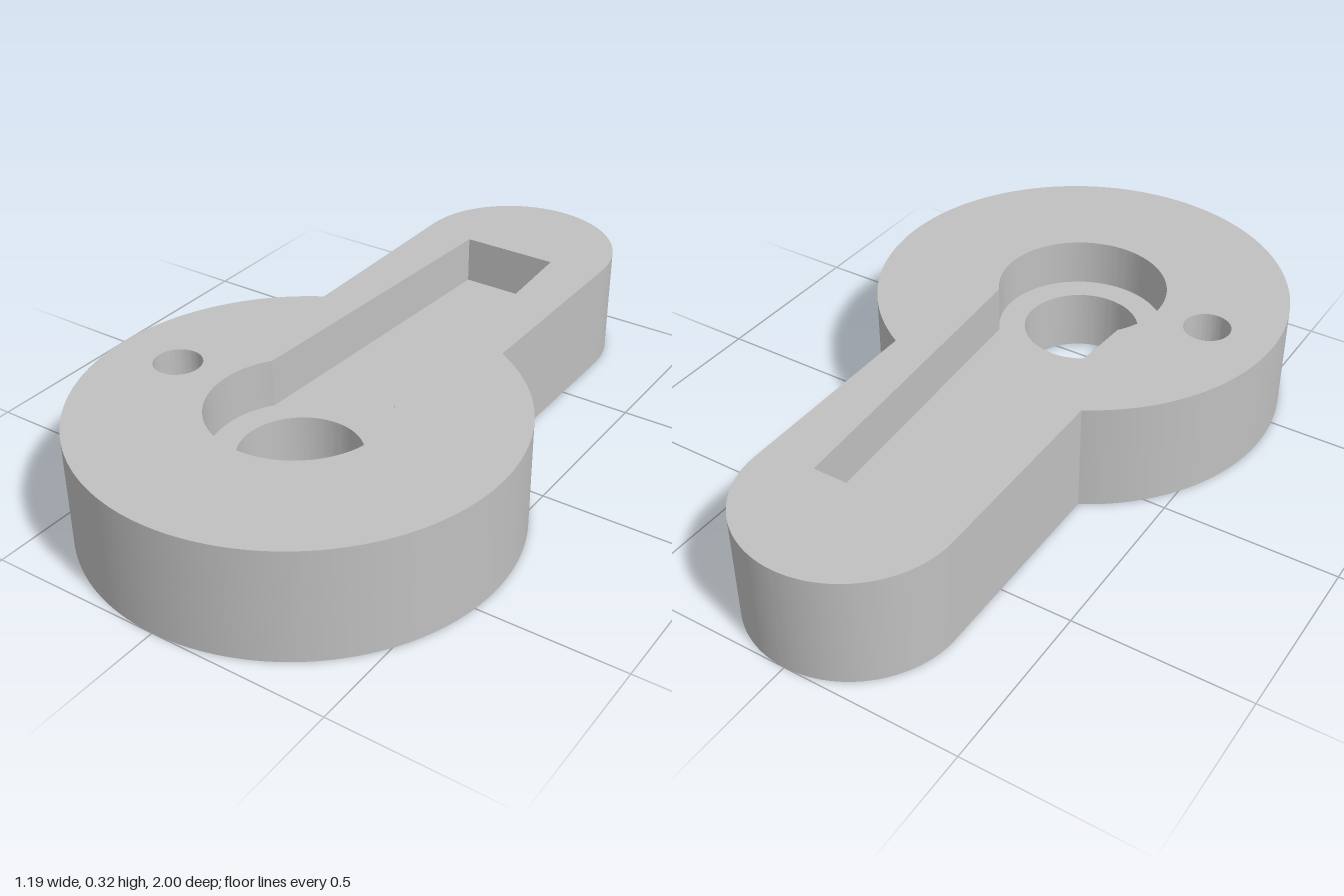
import * as THREE from 'three';
import { toCreasedNormals } from 'three/addons/utils/BufferGeometryUtils.js';

const HEIGHT = 0.32, FLOOR = 0.18;      // full height, recess floor height
const HUB_Y = -0.405, HUB_R = 0.595;    // hub centre (shape y is -z) and radius
const ARM_W = 0.295, ARM_Y = 0.705;     // arm half width and tip centre

// Round hub blending into a straight arm with a rounded tip
function outline() {
  const a = Math.acos(ARM_W / HUB_R);
  const s = new THREE.Shape();
  s.absarc(0, HUB_Y, HUB_R, Math.PI - a, a + Math.PI * 2, false);
  s.lineTo(ARM_W, ARM_Y);
  s.absarc(0, ARM_Y, ARM_W, 0, Math.PI, false);
  s.closePath();
  return s;
}

function circle(x, y, r) {
  return new THREE.Path().absarc(x, y, r, 0, Math.PI * 2, false);
}

// Keyhole recess: circular pocket with a tapering slot
function keyhole() {
  const r = 0.243, b = Math.acos(0.195 / r);
  const p = new THREE.Path();
  p.absarc(0, HUB_Y, r, Math.PI - b, b + Math.PI * 2, false);
  p.lineTo(0.142, 0.667);
  p.lineTo(-0.142, 0.667);
  p.closePath();
  return p;
}

// Horizontal slab between two heights, with holes cut through it
function slab(name, holes, y0, y1, material) {
  const shape = outline();
  shape.holes.push(...holes);
  const geo = new THREE.ExtrudeGeometry(shape, { depth: y1 - y0, bevelEnabled: false, curveSegments: 72 });
  geo.rotateX(-Math.PI / 2);
  geo.translate(0, y0, 0);
  const mesh = new THREE.Mesh(toCreasedNormals(geo, 0.4), material);
  mesh.name = name;
  return mesh;
}

export function createModel() {
  const grey = new THREE.MeshStandardMaterial({ color: 0xc0c0c0 });
  grey.name = 'light grey';
  const pinHole = () => circle(-0.4, HUB_Y, 0.067);

  const group = new THREE.Group();
  group.name = 'leverArm';
  // Lower plate with shaft hole, upper wall around the recess
  group.add(
    slab('basePlate', [circle(0, HUB_Y, 0.167), pinHole()], 0, FLOOR, grey),
    slab('recessWall', [keyhole(), pinHole()], FLOOR, HEIGHT, grey)
  );
  return group;
}
